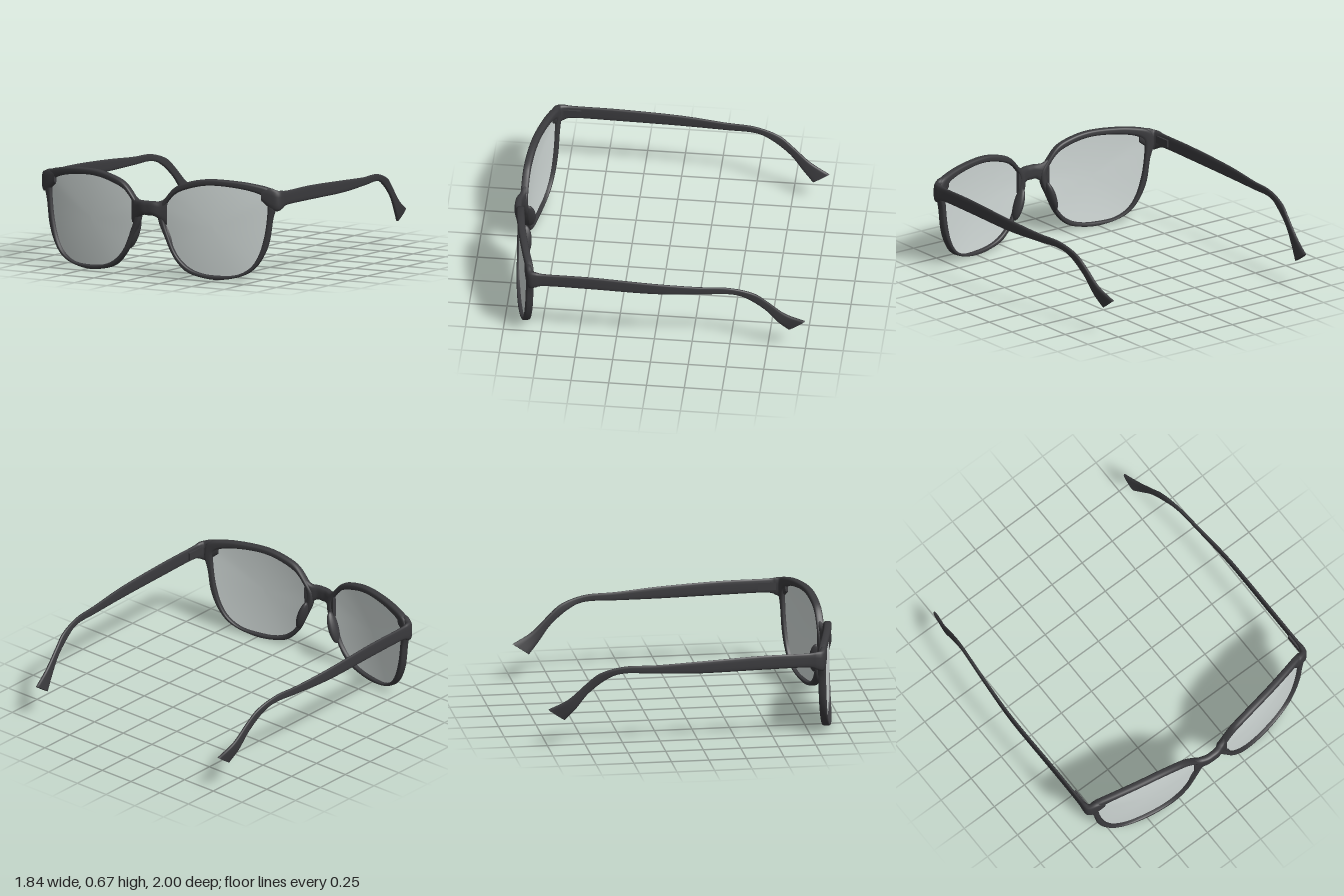
import * as THREE from 'three';

const frameMat = new THREE.MeshStandardMaterial({ color: 0x3a3a3d });
const lensMat = new THREE.MeshStandardMaterial({ color: 0xd0d8d6, side: THREE.DoubleSide });
const V = (x, y, z) => new THREE.Vector3(x, y, z);

// wrap of the frame front: depth for a given x
const wrap = x => 0.95 - 0.19 * x * x;

// rim stations around one eye: inner x, y and outer x, y
const RIM = [
  [.14, .50, .115, .515], [.20, .56, .19, .60], [.30, .60, .28, .64], [.42, .625, .41, .667],
  [.55, .625, .56, .668], [.70, .605, .73, .652], [.79, .575, .86, .615], [.825, .53, .885, .52],
  [.82, .40, .86, .42], [.80, .28, .838, .27], [.765, .17, .795, .16], [.71, .09, .73, .075],
  [.62, .04, .635, .026], [.50, .03, .50, .002], [.38, .04, .375, .013], [.28, .08, .265, .05],
  [.20, .16, .18, .14], [.15, .27, .115, .27], [.115, .37, .07, .37], [.11, .44, .07, .45],
];

// arm stations: x, top z, top y, bottom z, bottom y, half thickness
const ARM = [
  [.79, .835, .625, .835, .54, .022], [.85, .82, .628, .82, .49, .024], [.89, .803, .613, .803, .475, .024],
  [.902, .77, .61, .77, .49, .018], [.905, .70, .603, .70, .508, .011], [.905, .40, .60, .40, .505, .01],
  [.905, 0, .58, 0, .498, .01], [.885, -.30, .56, -.30, .503, .01], [.867, -.50, .555, -.50, .508, .01],
  [.848, -.66, .51, -.61, .472, .011], [.832, -.75, .44, -.735, .375, .011],
  [.815, -.87, .33, -.82, .265, .012], [.79, -1, .26, -.89, .185, .012],
];

// bridge stations: x, top y, bottom y, z, half thickness
const BRIDGE = [[-.13, .53, .34, .945, .02], [-.085, .502, .375, .957, .024], [-.04, .50, .402, .973, .025],
  [0, .50, .402, .975, .025], [.04, .50, .402, .973, .025], [.085, .502, .375, .957, .024], [.13, .53, .34, .945, .02]];

// rounded bar between two edge curves, with a varying half thickness
function bar(tops, bottoms, halves, steps, closed) {
  const SEG = 14, pos = [], idx = [];
  const curve = pts => new THREE.CatmullRomCurve3(pts, closed, 'catmullrom', 0.5);
  const top = curve(tops), bottom = curve(bottoms), half = curve(halves.map(h => V(h, 0, 0)));
  const mid = t => top.getPoint(t).add(bottom.getPoint(t)).multiplyScalar(0.5);
  const wrapT = t => closed ? (t + 1) % 1 : Math.min(1, Math.max(0, t));
  const soft = v => Math.sign(v) * Math.abs(v) ** 0.65;
  const rows = closed ? steps : steps + 1;
  for (let i = 0; i < rows; i++) {
    const t = i / steps, c = mid(t), h = half.getPoint(t).x;
    const up = top.getPoint(t).sub(c);
    const along = mid(wrapT(t + 0.004)).sub(mid(wrapT(t - 0.004)));
    const side = up.clone().cross(along).normalize().multiplyScalar(h);
    for (let j = 0; j < SEG; j++) {
      const a = j / SEG * Math.PI * 2;
      const p = c.clone().addScaledVector(up, soft(Math.cos(a))).addScaledVector(side, soft(Math.sin(a)));
      pos.push(p.x, p.y, p.z);
    }
  }
  for (let i = 0; i < steps; i++) for (let j = 0; j < SEG; j++) {
    const r = i * SEG, n = ((i + 1) % rows) * SEG, k = (j + 1) % SEG;
    idx.push(r + j, r + k, n + j, n + j, r + k, n + k);
  }
  // flat end caps with their own corners
  if (!closed) for (const row of [0, rows - 1]) {
    const base = pos.length / 3;
    for (let j = 0; j < SEG * 3; j++) if (j < SEG * 3) pos.push(pos[row * SEG * 3 + j]);
    for (let j = 1; j < SEG - 1; j++) {
      if (row) idx.push(base, base + j, base + j + 1);
      else idx.push(base, base + j + 1, base + j);
    }
  }
  // face outward: flip when the enclosed volume is negative
  const at = k => V(pos[3 * k], pos[3 * k + 1], pos[3 * k + 2]);
  let volume = 0;
  for (let i = 0; i < idx.length; i += 3) volume += at(idx[i]).dot(at(idx[i + 1]).cross(at(idx[i + 2])));
  return finish(pos, volume < 0 ? idx.reverse() : idx);
}

function finish(pos, idx) {
  const g = new THREE.BufferGeometry();
  g.setAttribute('position', new THREE.Float32BufferAttribute(pos, 3));
  g.setIndex(idx);
  g.computeVertexNormals();
  return g;
}

// gently domed lens: rings shrinking from the rim to the middle
function lensGeometry() {
  const outline = new THREE.CatmullRomCurve3(RIM.map(r => V((r[0] * 3 + r[2]) / 4, (r[1] * 3 + r[3]) / 4, 0)), true, 'catmullrom', 0.5);
  const N = 64, R = 8, pos = [], idx = [], c = V(.47, .34, 0);
  for (let k = 0; k <= R; k++) for (let j = 0; j < N; j++) {
    const s = 1 - k / R, p = outline.getPoint(j / N).lerp(c, 1 - s);
    pos.push(p.x, p.y, wrap(p.x) + 0.012 * (1 - s * s));
    if (k < R) {
      const a = k * N + j, b = k * N + (j + 1) % N;
      idx.push(a, a + N, b);
      if (k < R - 1) idx.push(b, a + N, b + N);
    }
  }
  return finish(pos, idx);
}

function mirrored(geometry) {
  const g = geometry.clone().scale(-1, 1, 1);
  g.setIndex([...g.index.array].reverse());
  g.computeVertexNormals();
  return g;
}

export function createModel() {
  const model = new THREE.Group();
  model.name = 'glasses';
  const add = (name, geometry, mat = frameMat) => {
    const m = new THREE.Mesh(geometry, mat);
    m.name = name;
    model.add(m);
  };
  const addPair = (name, geometry, mat) => {
    add('left' + name, geometry, mat);
    add('right' + name, mirrored(geometry), mat);
  };

  // rims and lenses
  addPair('Rim', bar(RIM.map(r => V(r[2], r[3], wrap(r[2]))), RIM.map(r => V(r[0], r[1], wrap(r[0]))),
    RIM.map(() => 0.025), 80, true));
  addPair('Lens', lensGeometry(), lensMat);

  // bridge
  add('bridge', bar(BRIDGE.map(b => V(b[0], b[1], b[3])), BRIDGE.map(b => V(b[0], b[2], b[3])),
    BRIDGE.map(b => b[4]), 24, false));

  // arms with the corner pieces that join the rims
  addPair('Arm', bar(ARM.map(a => V(a[0], a[2], a[1])), ARM.map(a => V(a[0], a[4], a[3])),
    ARM.map(a => a[5]), 72, false));

  // nose pads behind the inner rims
  addPair('NosePad', new THREE.SphereGeometry(1, 16, 12).scale(.028, .11, .045)
    .rotateZ(.32).translate(.135, .27, .92));

  // hinges inside the corners
  addPair('Hinge', new THREE.BoxGeometry(.022, .05, .12).translate(.893, .555, .71));
  return model;
}
